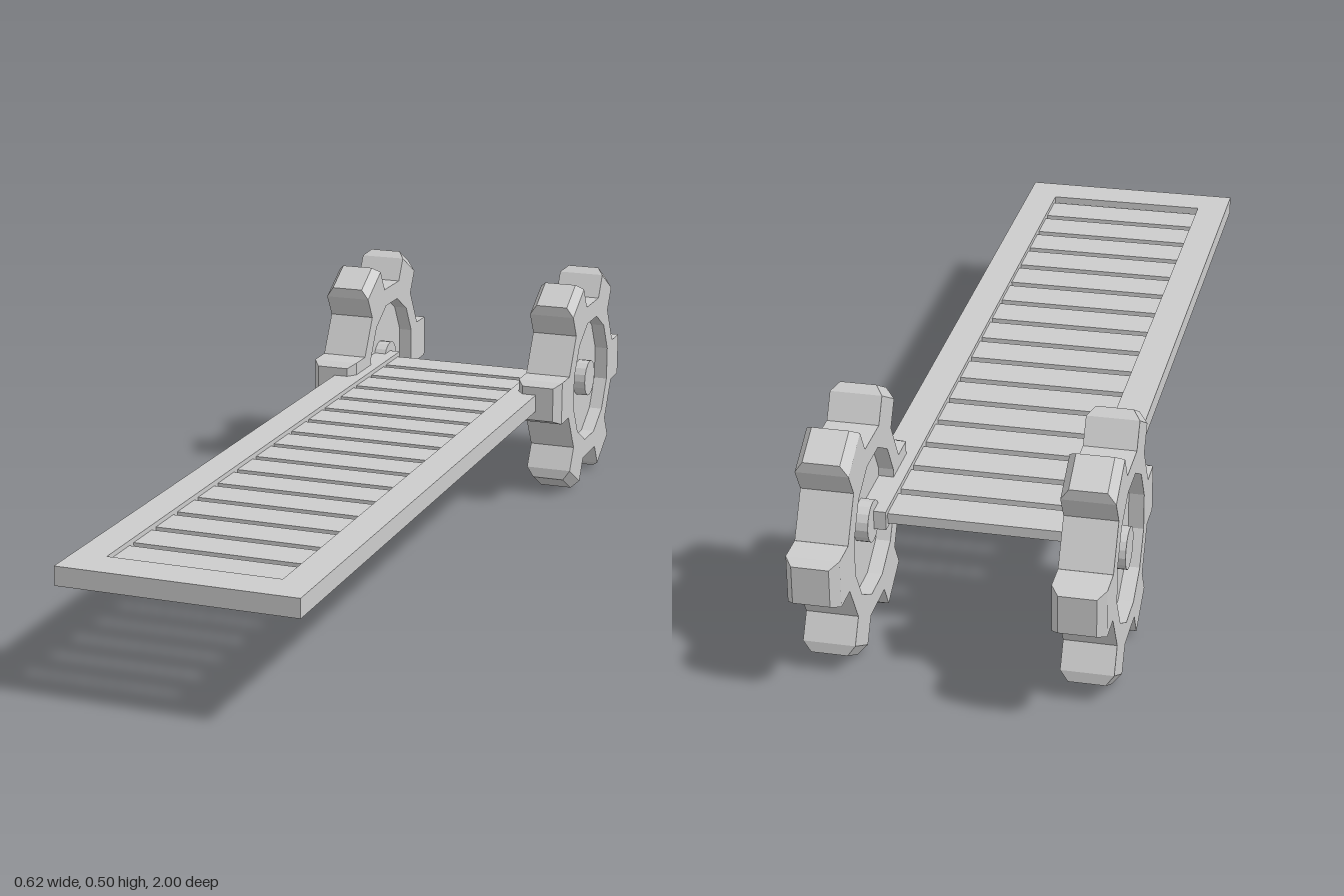
import * as THREE from 'three';

const material = new THREE.MeshStandardMaterial({ color: 0xcccccc, flatShading: true });
const AXLE_Y = 0.252, AXLE_Z = -0.732;

function part(name, geometry, parent) {
  const mesh = new THREE.Mesh(geometry, material);
  mesh.name = name;
  parent.add(mesh);
  return mesh;
}

// Tooth pointing along +y, with an inset, chamfered tip
function toothGeometry() {
  const geometry = new THREE.BoxGeometry(2, 2, 2, 1, 2, 1);
  const rows = [[0.18, 0.053, 0.05], [0.246, 0.053, 0.05], [0.267, 0.037, 0.04]];
  const p = geometry.attributes.position;
  for (let i = 0; i < p.count; i++) {
    const [radius, halfX, halfZ] = rows[Math.round(p.getY(i)) + 1];
    p.setXYZ(i, p.getX(i) * halfX, radius, p.getZ(i) * halfZ);
  }
  geometry.computeVertexNormals();
  return geometry;
}

// Twelve-sided wheel, recessed on both faces, with six teeth and a hub
function createWheel(name) {
  const wheel = new THREE.Group();
  wheel.name = name;
  const profile = [
    [0, -0.022], [0.15, -0.022], [0.15, -0.053], [0.194, -0.053],
    [0.194, 0.053], [0.15, 0.053], [0.15, 0.022], [0, 0.022],
  ].map(([r, y]) => new THREE.Vector2(r, y));
  const rim = new THREE.LatheGeometry(profile, 12, Math.PI / 12);
  part('wheelRim', rim.rotateZ(Math.PI / 2), wheel);

  const tooth = toothGeometry();
  for (let i = 0; i < 6; i++) {
    part('wheelTooth', tooth, wheel).rotation.x = Math.PI / 2 + i * Math.PI / 3;
  }
  const hub = new THREE.CylinderGeometry(0.043, 0.043, 0.1, 16);
  part('wheelHub', hub.rotateZ(Math.PI / 2), wheel);
  return wheel;
}

export function createModel() {
  const model = new THREE.Group();
  model.name = 'wheeledRamp';

  // U-shaped frame, open at the wheel end
  const outline = [
    [-0.252, 1], [0.252, 1], [0.252, -0.73], [0.182, -0.73],
    [0.182, 0.915], [-0.182, 0.915], [-0.182, -0.73], [-0.252, -0.73],
  ].map(([x, z]) => new THREE.Vector2(x, -z));
  const frame = new THREE.ExtrudeGeometry(new THREE.Shape(outline), { depth: 0.04, bevelEnabled: false });
  part('rampFrame', frame.rotateX(-Math.PI / 2), model).position.y = 0.233;

  // Slats set a little below the frame's faces
  const slat = new THREE.BoxGeometry(0.366, 0.022, 0.083);
  for (let i = 0; i < 16; i++) {
    part('slat', slat, model).position.set(0, 0.252, -0.675 + i * 0.1022);
  }

  // Pair of toothed wheels
  for (const side of [1, -1]) {
    const wheel = createWheel(side > 0 ? 'leftWheel' : 'rightWheel');
    wheel.position.set(side * 0.257, AXLE_Y, AXLE_Z);
    model.add(wheel);
  }
  return model;
}
